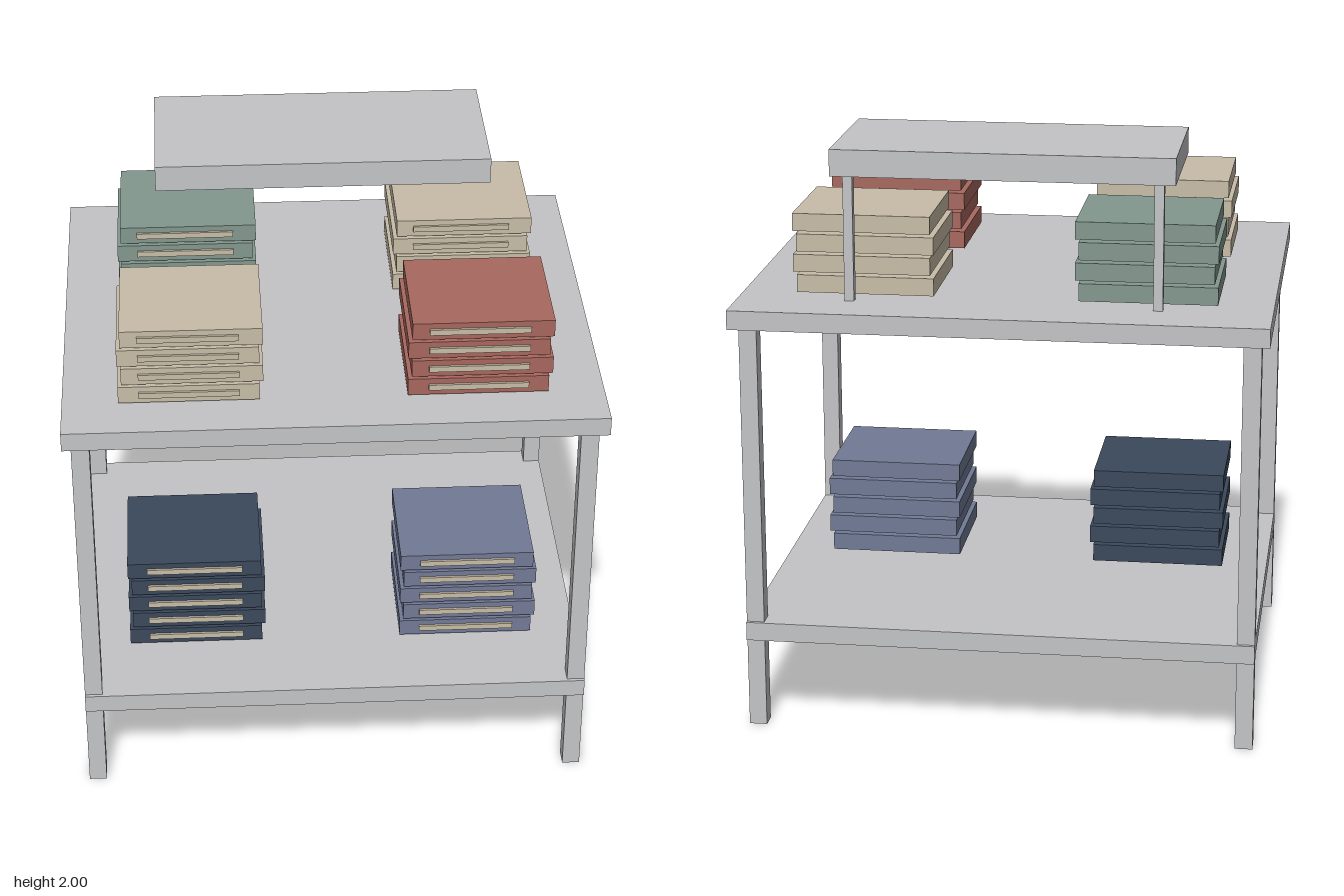
import * as THREE from 'three';

export function createModel() {
  const model = new THREE.Group();
  model.name = 'displayTable';

  const paint = (name, color) => {
    const m = new THREE.MeshStandardMaterial({ color });
    m.name = name;
    return m;
  };
  const grey = paint('pale grey', 0xc4c5c7);
  const cream = paint('cream', 0xc8bda8);
  const red = paint('brick red', 0xa8685f);
  const green = paint('sage green', 0x83988f);
  const navy = paint('navy', 0x3b495c);
  const blue = paint('dusty blue', 0x727b96);

  // Box given by its size and centre
  const box = (parent, name, mat, [w, h, d], [x, y, z]) => {
    const mesh = new THREE.Mesh(new THREE.BoxGeometry(w, h, d), mat);
    mesh.name = name;
    mesh.position.set(x, y, z);
    parent.add(mesh);
  };

  // Table: top, lower shelf and four legs
  box(model, 'tableTop', grey, [1.786, 0.065, 1.52], [0, 1.451, 0]);
  box(model, 'lowerShelf', grey, [1.73, 0.064, 1.444], [0, 0.344, 0]);
  for (const x of [-0.835, 0.835])
    for (const z of [-0.68, 0.68])
      box(model, 'leg', grey, [0.06, 1.42, 0.06], [x, 0.71, z]);

  // Raised display shelf on two slim posts
  box(model, 'riserShelf', grey, [1.14, 0.09, 0.53], [0, 1.955, -0.342]);
  for (const x of [-0.515, 0.515])
    box(model, 'riserPost', grey, [0.032, 0.44, 0.032], [x, 1.695, -0.566]);

  // Stack of folded items, shifted alternately, each with a front label strip
  const stack = (name, mat, count, x, y, z) => {
    const group = new THREE.Group();
    group.name = name;
    for (let i = 0; i < count; i++) {
      const cy = y + 0.03 + i * 0.07;
      const shift = i % 2 ? 0.006 : -0.006;
      box(group, 'foldedItem', mat, [0.464, 0.06, 0.418], [x + shift, cy, z]);
      box(group, 'labelStrip', cream, [0.33, 0.02, 0.009], [Math.sign(x) * 0.475, cy, z + 0.2135]);
    }
    model.add(group);
  };
  const left = -0.47, right = 0.48;
  stack('backRightStack', green, 4, left, 1.49, -0.302);
  stack('backLeftStack', cream, 4, right, 1.49, -0.302);
  stack('frontRightStack', cream, 4, left, 1.49, 0.384);
  stack('frontLeftStack', red, 4, right, 1.49, 0.384);
  stack('lowerRightStack', navy, 5, left, 0.386, 0.23);
  stack('lowerLeftStack', blue, 5, right, 0.386, 0.23);

  return model;
}
